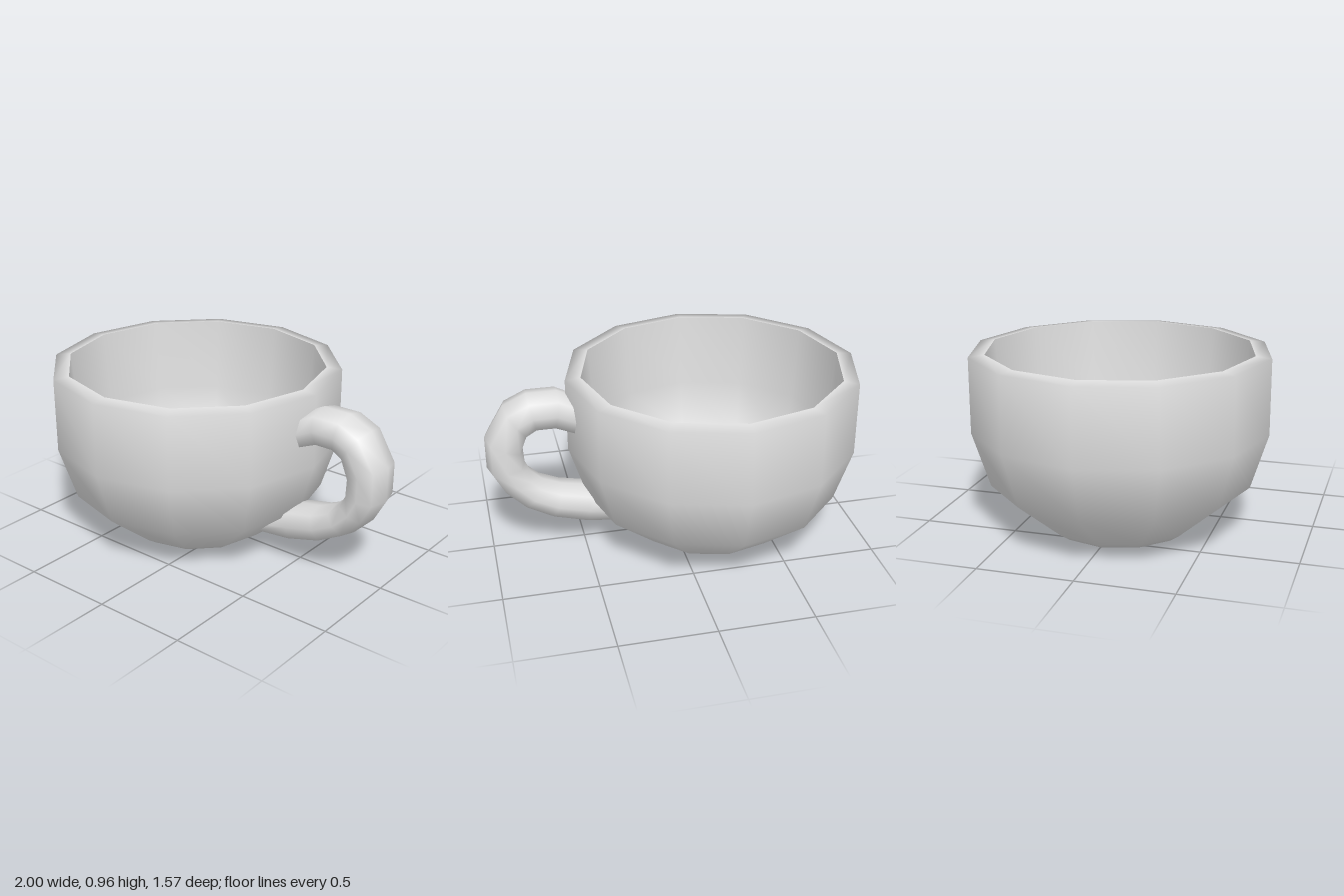
import * as THREE from 'three';
import { mergeVertices } from 'three/addons/utils/BufferGeometryUtils.js';

const SIDES = 12;
const CUP_X = -0.217;

// Twelve-sided turned surface with area-weighted smooth normals
function lathe(name, profile, material) {
  const points = profile.map(([r, y]) => new THREE.Vector2(r, y));
  let geometry = new THREE.LatheGeometry(points, SIDES);
  geometry.deleteAttribute('uv');
  geometry.deleteAttribute('normal');
  geometry = mergeVertices(geometry);
  geometry.computeVertexNormals();
  const mesh = new THREE.Mesh(geometry, material);
  mesh.name = name;
  mesh.position.x = CUP_X;
  return mesh;
}

// Octagonal tube whose rings each span an outer and an inner point in the xy plane
function handleGeometry(rings, halfWidth) {
  // [position across the ring (1 outer, -1 inner), sideways share]
  const section = [[1, 0], [0.75, 0.8], [0, 1], [-0.75, 0.8], [-1, 0], [-0.75, -0.8], [0, -1], [0.75, -0.8]];
  const n = section.length;
  const positions = [];
  const indices = [];
  rings.forEach(([ox, oy, ix, iy], i) => {
    for (const [u, w] of section) {
      positions.push(
        (ox + ix) / 2 + (u * (ox - ix)) / 2,
        (oy + iy) / 2 + (u * (oy - iy)) / 2,
        w * halfWidth
      );
    }
    if (i === 0) return;
    for (let j = 0; j < n; j++) {
      const a = (i - 1) * n + j, b = (i - 1) * n + (j + 1) % n;
      indices.push(a, b, a + n, b, b + n, a + n);
    }
  });
  const geometry = new THREE.BufferGeometry();
  geometry.setAttribute('position', new THREE.Float32BufferAttribute(positions, 3));
  geometry.setIndex(indices);
  geometry.computeVertexNormals();
  return geometry;
}

export function createModel() {
  const group = new THREE.Group();
  group.name = 'cup';
  const ceramic = new THREE.MeshStandardMaterial({ color: 0xdedede });
  ceramic.name = 'light grey ceramic';

  // Outer wall with base and sloping rim
  group.add(lathe('outerBowl', [
    [0, 0], [0.367, 0], [0.425, 0.04], [0.692, 0.265], [0.783, 0.555], [0.783, 0.95], [0.7, 0.96],
  ], ceramic));

  // Hollow inside: tapering wall and a shallow dished floor
  group.add(lathe('innerBowl', [
    [0.7, 0.96], [0.67, 0.56], [0.62, 0.27], [0.48, 0.145], [0, 0.13],
  ], ceramic));

  // Handle rings: outer x, y then inner x, y; both ends sit inside the cup wall
  const handle = new THREE.Mesh(handleGeometry([
    [0.51, 0.85, 0.54, 0.67],
    [0.61, 0.902, 0.64, 0.71],
    [0.77, 0.902, 0.73, 0.71],
    [0.895, 0.845, 0.775, 0.68],
    [1.0, 0.675, 0.805, 0.59],
    [1.0, 0.495, 0.8, 0.51],
    [0.935, 0.375, 0.77, 0.445],
    [0.825, 0.265, 0.71, 0.39],
    [0.68, 0.185, 0.61, 0.35],
    [0.485, 0.13, 0.48, 0.325],
    [0.26, 0.112, 0.43, 0.29],
  ], 0.125), ceramic);
  handle.name = 'handle';
  group.add(handle);

  return group;
}
